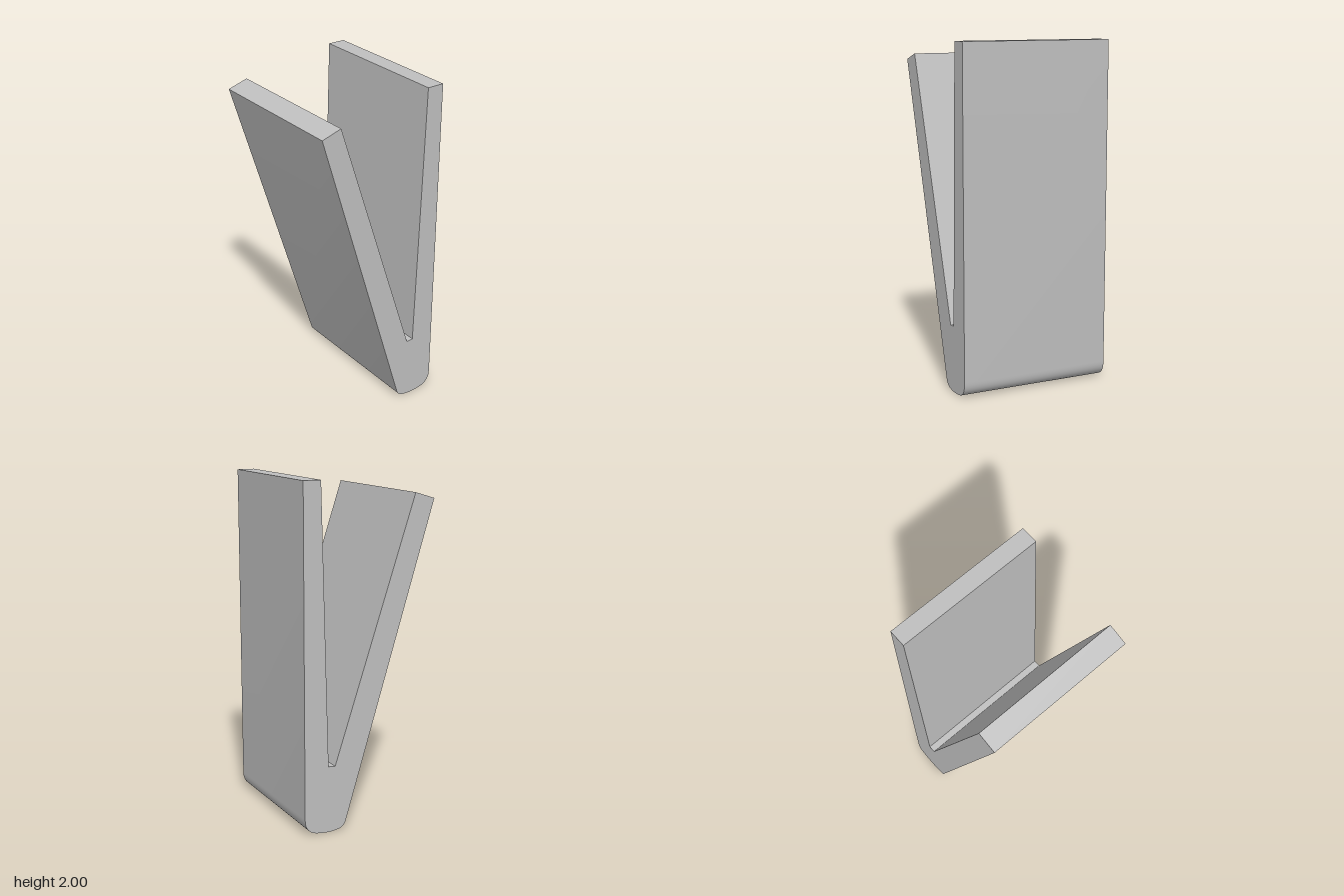
import * as THREE from 'three';
import { toCreasedNormals } from 'three/addons/utils/BufferGeometryUtils.js';

const WIDTH = 0.906;

export function createModel() {
  const group = new THREE.Group();
  group.name = 'clip';
  const grey = new THREE.MeshStandardMaterial({ color: 0xbfbfbf });
  grey.name = 'plain grey';

  // Side profile, drawn as (z, y): upright back leg, rounded foot, slanted front leg
  const profile = new THREE.Shape();
  profile.moveTo(-0.405, 2);
  profile.lineTo(-0.405, 0.1);
  profile.bezierCurveTo(-0.405, 0.04, -0.375, 0.014, -0.33, 0.007);
  profile.bezierCurveTo(-0.29, 0, -0.24, 0, -0.215, 0.005);
  profile.bezierCurveTo(-0.18, 0.01, -0.158, 0.02, -0.148, 0.05);
  profile.lineTo(0.408, 1.873);
  profile.lineTo(0.287, 1.91);
  // Inside of the V, with its narrow flat bottom
  profile.lineTo(-0.215, 0.39);
  profile.lineTo(-0.257, 0.393);
  profile.lineTo(-0.3, 2);
  profile.closePath();

  // Extrude across the width and turn the profile to face along x
  const geometry = new THREE.ExtrudeGeometry(profile, { depth: WIDTH, bevelEnabled: false, curveSegments: 10 });
  geometry.translate(0, 0, -WIDTH / 2);
  geometry.rotateY(-Math.PI / 2);

  const body = new THREE.Mesh(toCreasedNormals(geometry, 0.6), grey);
  body.name = 'foldedClipBody';
  group.add(body);
  return group;
}
